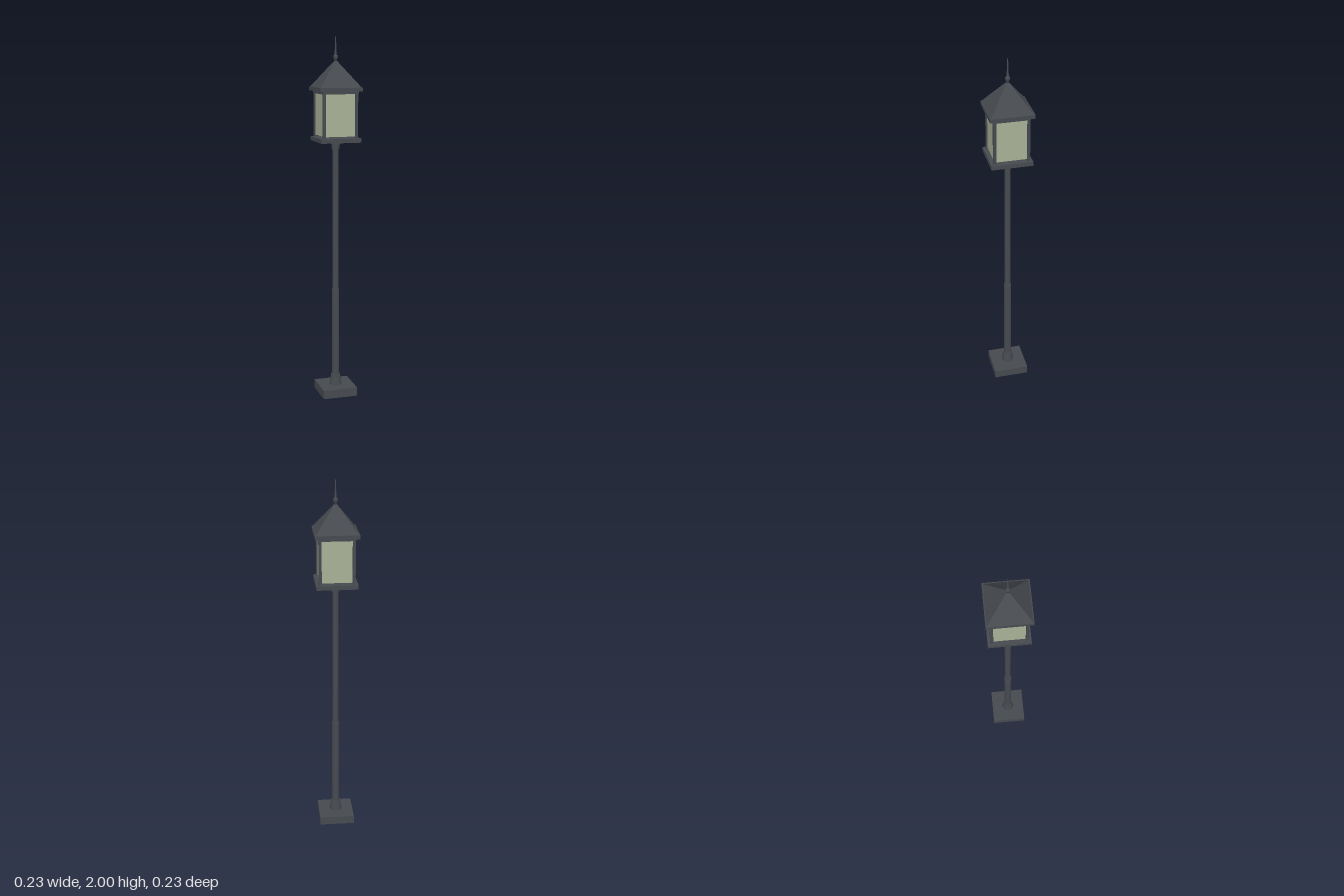
import * as THREE from 'three';

export function createModel() {
  const lamp = new THREE.Group();
  lamp.name = 'streetLamp';

  const metal = new THREE.MeshStandardMaterial({ color: 0x464a4f });
  metal.name = 'dark metal';
  const glass = new THREE.MeshStandardMaterial({ color: 0xa9b197 });
  glass.name = 'frosted glass';

  function add(name, geometry, material, x = 0, y = 0, z = 0, parent = lamp) {
    const mesh = new THREE.Mesh(geometry, material);
    mesh.name = name;
    mesh.position.set(x, y, z);
    parent.add(mesh);
    return mesh;
  }
  // Square slab or bar standing between two heights
  const slab = (name, half, y0, y1, x = 0, z = 0) =>
    add(name, new THREE.BoxGeometry(half * 2, y1 - y0, half * 2), metal, x, (y0 + y1) / 2, z);
  // Round section between two heights
  const round = (name, rBottom, rTop, y0, y1) =>
    add(name, new THREE.CylinderGeometry(rTop, rBottom, y1 - y0, 12), metal, 0, (y0 + y1) / 2, 0);

  // Base and stepped pole
  slab('basePlinth', 0.098, 0, 0.048);
  round('poleFoot', 0.035, 0.026, 0.048, 0.107);
  round('lowerPole', 0.021, 0.021, 0.1, 0.61);
  round('upperPole', 0.017, 0.017, 0.61, 1.4);
  round('poleCollar', 0.022, 0.024, 1.39, 1.418);
  round('collarRim', 0.028, 0.028, 1.418, 1.434);

  // Lantern floor and corner posts
  slab('lanternFloor', 0.111, 1.432, 1.455);
  for (const x of [-1, 1]) {
    for (const z of [-1, 1]) slab('cornerPost', 0.008, 1.455, 1.692, x * 0.089, z * 0.089);
  }

  // Glass panes, one on each side, raised slightly off the floor
  for (let i = 0; i < 4; i++) {
    const side = new THREE.Group();
    side.name = 'lanternSide';
    side.rotation.y = (i * Math.PI) / 2;
    add('glassPane', new THREE.BoxGeometry(0.164, 0.228, 0.005), glass, 0, 1.578, 0.087, side);
    lamp.add(side);
  }

  // Eaves and pyramid roof
  slab('topFrame', 0.099, 1.69, 1.706);
  slab('eave', 0.117, 1.704, 1.724);
  const roof = new THREE.ConeGeometry(0.113 * Math.SQRT2, 0.148, 4, 1);
  roof.rotateY(Math.PI / 4);
  const flatRoof = roof.toNonIndexed();
  flatRoof.computeVertexNormals();
  add('roof', flatRoof, metal, 0, 1.797, 0);

  // Turned finial with a ball, neck and needle
  const profile = [
    [0, 1.862], [0.008, 1.862], [0.008, 1.872], [0.012, 1.878], [0.013, 1.885],
    [0.011, 1.893], [0.006, 1.898], [0.0065, 1.908], [0.004, 1.925],
    [0.0035, 1.975], [0, 2],
  ].map(([r, y]) => new THREE.Vector2(r, y));
  add('finial', new THREE.LatheGeometry(profile, 16), metal);

  return lamp;
}
